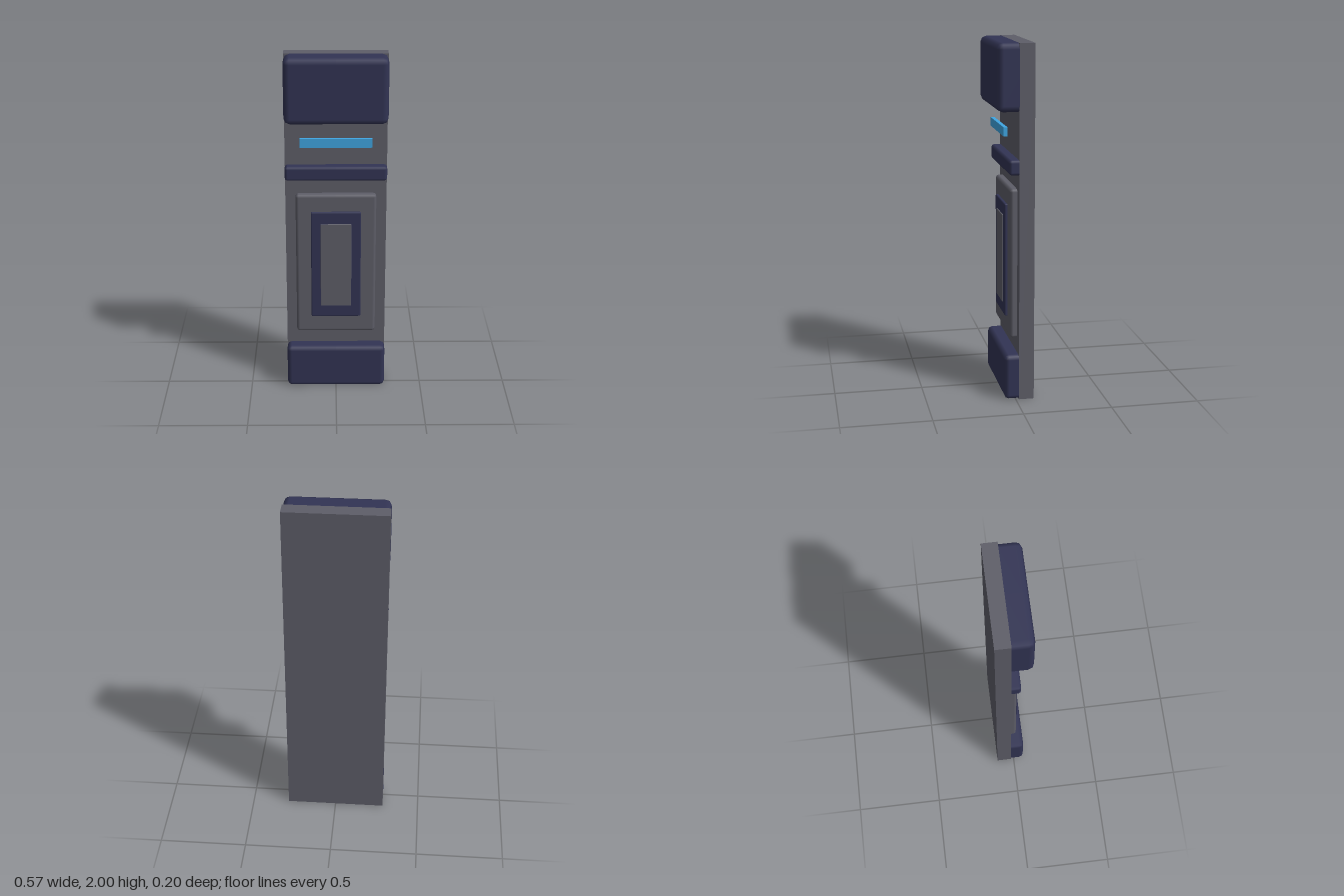
import * as THREE from 'three';

const W = 0.572;        // overall width
const BACK = -0.103;    // rear of the slab
const FACE = -0.018;    // front of the slab

const grey = new THREE.MeshStandardMaterial({ color: 0x5e5e68 });
const navy = new THREE.MeshStandardMaterial({ color: 0x323454 });
const blue = new THREE.MeshStandardMaterial({ color: 0x3fa6e2 });

// Box with a flat back at z = 0 and a two-step smooth bevel of radius r on all other edges
function paddedBox(w, h, d, r) {
  const g = new THREE.BoxGeometry(2, 2, 2, 4, 4, 4);
  const pos = g.attributes.position;
  const nor = g.attributes.normal;
  const half = new THREE.Vector3(w / 2, h / 2, d);
  const u = new THREE.Vector3();
  const dir = new THREE.Vector3();
  const bend = (v) => Math.sign(v) * Math.max(0, 2 * Math.abs(v) - 1);
  const core = (v, size) => Math.sign(Math.round(v * 4)) * (size - r);
  for (let i = 0; i < pos.count; i++) {
    u.fromBufferAttribute(pos, i);
    dir.set(bend(u.x), bend(u.y), bend(u.z)).normalize();
    pos.setXYZ(i,
      core(u.x, half.x) + dir.x * r,
      core(u.y, half.y) + dir.y * r,
      Math.max(0, core(u.z, half.z) + dir.z * r));
    nor.setXYZ(i, dir.x, dir.y, dir.z);
    // the rear half is flattened, so its rim keeps straight side walls
    if (u.z < -0.25) {
      const side = Math.abs(u.x) > 0.99 || Math.abs(u.y) > 0.99;
      if (side) {
        dir.set(bend(u.x), bend(u.y), 0).normalize();
        pos.setXYZ(i, core(u.x, half.x) + dir.x * r, core(u.y, half.y) + dir.y * r, 0);
        nor.setXYZ(i, dir.x, dir.y, 0);
      }
    }
  }
  return g;
}

export function createModel() {
  const group = new THREE.Group();

  const add = (name, geometry, material, y, z) => {
    const mesh = new THREE.Mesh(geometry, material);
    mesh.name = name;
    mesh.position.set(0, y, z);
    group.add(mesh);
  };

  // Backing slab
  add('backSlab', new THREE.BoxGeometry(W, 2, FACE - BACK), grey, 1, (FACE + BACK) / 2);

  // Raised pieces on the front: name, material, width, bottom, top, front z, bevel
  const pads = [
    ['topBlock', navy, W, 1.63, 2, 0.102, 0.034],
    ['crossBar', navy, W, 1.287, 1.37, 0.037, 0.016],
    ['baseBlock', navy, W, 0, 0.26, 0.062, 0.026],
    ['panelPlate', grey, 0.456, 0.345, 1.2, 0.021, 0.017],
    ['panelFrame', navy, 0.284, 0.45, 1.1, 0.036, 0.006],
    ['panelInset', grey, 0.176, 0.52, 1.03, 0.042, 0.003],
  ];
  for (const [name, material, w, y0, y1, front, r] of pads) {
    add(name, paddedBox(w, y1 - y0, front - FACE, r), material, (y0 + y1) / 2, FACE);
  }

  // Light strip floating just ahead of the slab
  add('lightStrip', new THREE.BoxGeometry(0.4, 0.05, 0.022), blue, 1.515, 0.042);

  return group;
}
